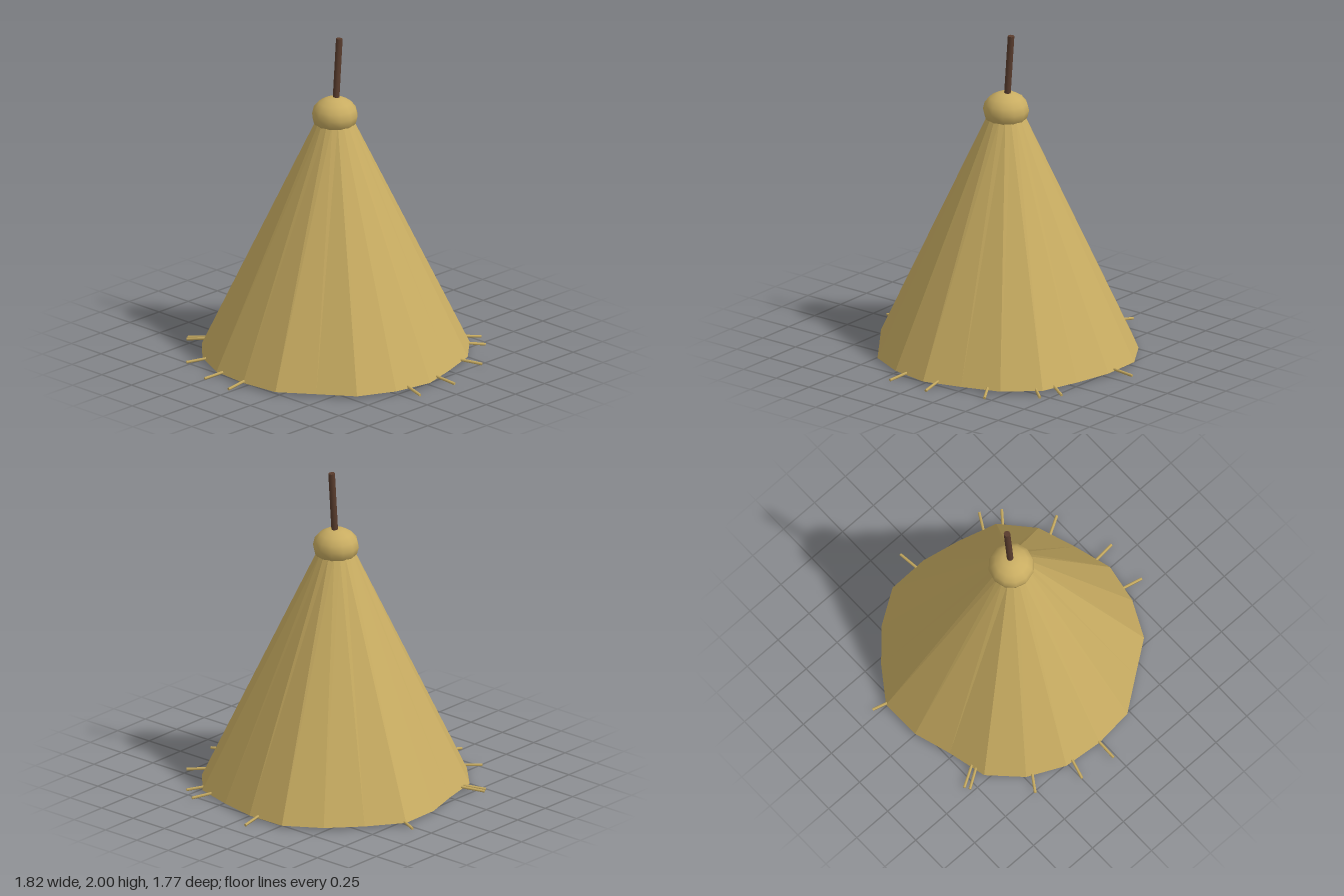
import * as THREE from 'three';

const CENTRE_Z = -0.02;

export function createModel() {
  const model = new THREE.Group();
  model.name = 'haystack';

  const hay = new THREE.MeshStandardMaterial({ color: 0xc9ad62 });
  hay.name = 'hay';
  const wood = new THREE.MeshStandardMaterial({ color: 0x5a3d2e });
  wood.name = 'dark wood';

  const add = (name, geometry, material) => {
    const mesh = new THREE.Mesh(geometry, material);
    mesh.name = name;
    model.add(mesh);
    return mesh;
  };

  // Uneven foot radius, one per side, clockwise from the back
  const footRadii = [0.78, 0.824, 0.785, 0.795, 0.82, 0.785, 0.773, 0.82, 0.805, 0.77,
    0.8, 0.795, 0.8, 0.76, 0.8, 0.785, 0.8, 0.805, 0.805, 0.746];
  const sides = footRadii.length;
  const bottom = 0.015, top = 1.5;

  // Faceted stack body
  const body = new THREE.CylinderGeometry(0.105, 1, top - bottom, sides, 1);
  const p = body.attributes.position;
  for (let i = 0; i < p.count; i++) {
    const x = p.getX(i), z = p.getZ(i);
    if (p.getY(i) > 0 || Math.hypot(x, z) < 0.5) continue;
    const turn = Math.atan2(x, -z) / (2 * Math.PI);
    const r = footRadii[(Math.round(turn * sides) + sides) % sides];
    p.setXYZ(i, x * r, p.getY(i), z * r);
  }
  const facets = body.toNonIndexed();
  facets.computeVertexNormals();
  add('stackBody', facets, hay).position.set(0, (top + bottom) / 2, CENTRE_Z);

  // Rounded cap, slightly flattened
  const cap = add('cap', new THREE.SphereGeometry(0.14, 12, 8), hay);
  cap.position.set(0, 1.522, CENTRE_Z);
  cap.scale.y = 0.81;

  // Leaning centre pole
  const pole = add('pole', new THREE.CylinderGeometry(0.02, 0.02, 0.5, 8), wood);
  pole.position.set(0.02, 1.75, CENTRE_Z);
  pole.rotation.z = -0.075;

  // Loose straws poking out around the foot
  const strawAngles = [18.4, 85.4, 120.1, 128.7, 149.7, 173.5, 191.4, 270, 284.6, 303.2, 328.2, 330.4];
  const strawGeometry = new THREE.CylinderGeometry(0.009, 0.009, 0.25, 5);
  const up = new THREE.Vector3(0, 1, 0);
  for (const degrees of strawAngles) {
    const a = THREE.MathUtils.degToRad(degrees);
    const straw = add('straw', strawGeometry, hay);
    straw.position.set(Math.sin(a) * 0.786, 0.024, CENTRE_Z - Math.cos(a) * 0.786);
    const direction = new THREE.Vector3(Math.sin(a), -0.12, -Math.cos(a)).normalize();
    straw.quaternion.setFromUnitVectors(up, direction);
  }

  return model;
}
